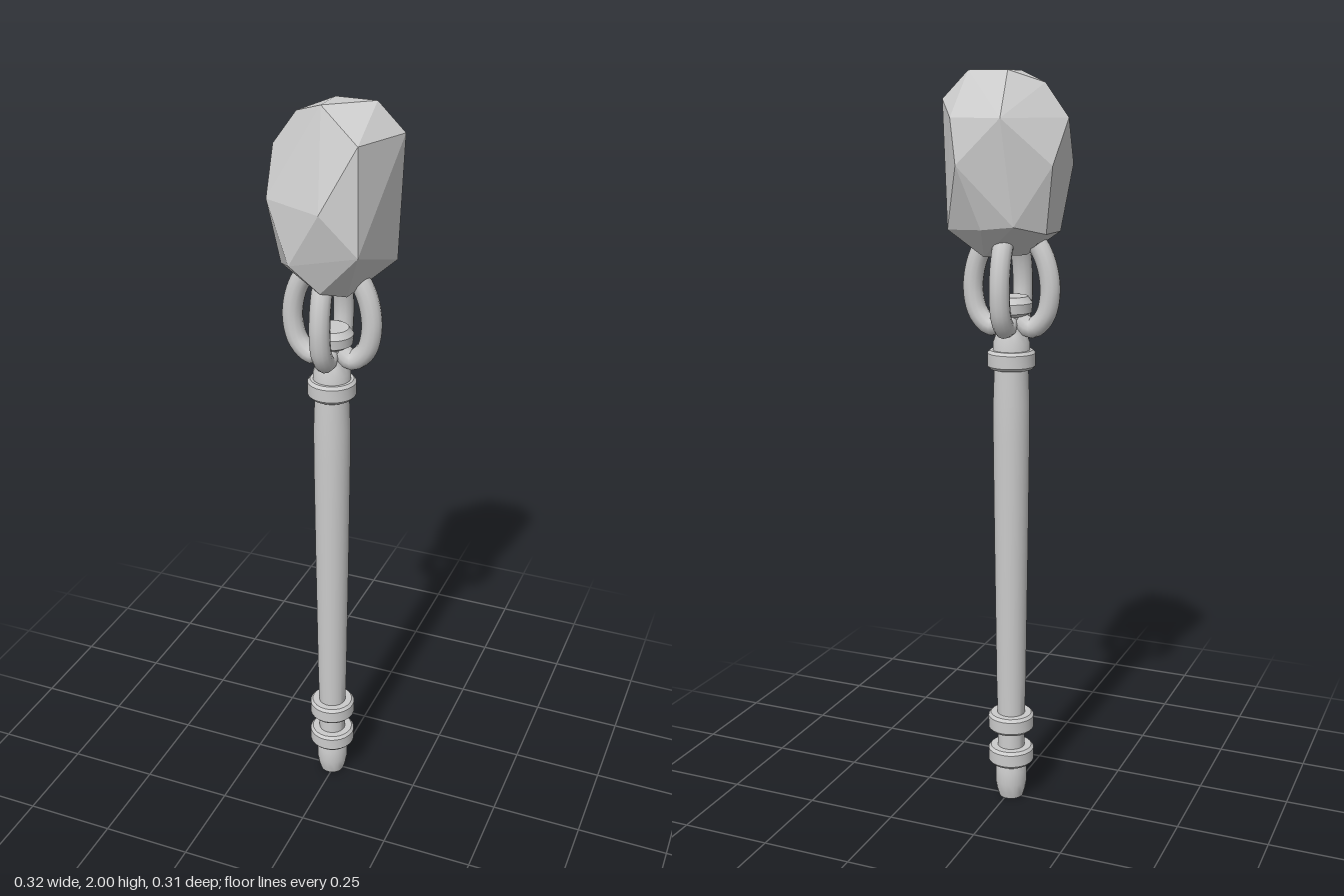
import * as THREE from 'three';
import { toCreasedNormals } from 'three/addons/utils/BufferGeometryUtils.js';
import { ConvexGeometry } from 'three/addons/geometries/ConvexGeometry.js';

const CX = -0.007, CZ = 0.004; // axis of the handle
const grey = new THREE.MeshStandardMaterial({ color: 0xcccccc });
const faceted = new THREE.MeshStandardMaterial({ color: 0xcccccc, flatShading: true });

function add(group, name, geometry, material = grey) {
  const mesh = new THREE.Mesh(geometry, material);
  mesh.name = name;
  group.add(mesh);
  return mesh;
}

// Turned part from [radius, height] pairs, bottom to top
function turned(profile) {
  const points = profile.map(([r, y]) => new THREE.Vector2(r, y));
  return toCreasedNormals(new THREE.LatheGeometry(points, 24), 0.6);
}

export function createModel() {
  const model = new THREE.Group();
  const handle = new THREE.Group();
  handle.name = 'handle';
  handle.position.set(CX, 0, CZ);
  model.add(handle);

  // Rounded foot, grip neck and tapering shaft
  add(handle, 'pommel', turned([[0, 0], [0.034, 0], [0.04, 0.02], [0.044, 0.045],
    [0.044, 0.08], [0.04, 0.105], [0.037, 0.12], [0, 0.12]]));
  add(handle, 'gripNeck', turned([[0, 0.11], [0.038, 0.11], [0.038, 0.24], [0, 0.24]]));
  add(handle, 'shaft', turned([[0, 0.23], [0.038, 0.23], [0.041, 0.35], [0.046, 0.75],
    [0.049, 1.05], [0.049, 1.15], [0.045, 1.26], [0, 1.26]]));

  // Bevelled collars
  for (const y of [0.13, 0.23, 1.265]) {
    const collar = add(handle, 'collar', turned([[0.03, -0.025], [0.057, -0.025], [0.064, -0.017],
      [0.064, 0.017], [0.057, 0.025], [0.03, 0.025]]));
    collar.position.y = y;
  }

  // Waisted top knob the links hook around
  add(handle, 'topKnob', turned([[0, 1.27], [0.05, 1.27], [0.049, 1.31], [0.04, 1.335],
    [0.033, 1.36], [0.038, 1.38], [0.054, 1.39], [0.056, 1.415], [0.044, 1.432], [0, 1.432]]));

  // Four curved links joining handle and stone, wider along x than z
  const linkPath = [[0.015, 1.375], [0.055, 1.35], [0.092, 1.38], [0.108, 1.44],
    [0.1, 1.51], [0.075, 1.565], [0.04, 1.6]];
  for (let i = 0; i < 4; i++) {
    const spread = i % 2 ? 0.76 : 1;
    const curve = new THREE.CatmullRomCurve3(
      linkPath.map(([r, y]) => new THREE.Vector3(r * spread, y, 0)));
    const link = add(handle, 'link', new THREE.TubeGeometry(curve, 28, 0.027, 12));
    link.rotation.y = i * Math.PI / 2;
  }

  // Rough-cut stone: corners of a convex block
  const corners = [
    [-0.018, 2, -0.048], [-0.018, 2, 0.045], [0.09, 2, -0.045], [-0.1, 1.97, 0],
    [0.1, 1.93, 0.11], [0.161, 1.93, -0.048], [0.105, 1.885, -0.127], [-0.036, 1.885, -0.143],
    [-0.163, 1.885, 0], [-0.15, 1.77, 0.075], [-0.15, 1.77, -0.079], [0.018, 1.77, 0.152],
    [0.08, 1.77, -0.153], [0.11, 1.67, 0.13], [-0.073, 1.625, 0.123], [0.138, 1.605, -0.075],
    [0.03, 1.61, -0.112], [-0.06, 1.62, -0.115], [-0.127, 1.6, 0.045], [-0.125, 1.6, -0.055],
    [0, 1.555, 0.1], [-0.05, 1.54, 0], [0.05, 1.535, 0.045], [0.05, 1.535, -0.045],
  ];
  add(model, 'stone', new ConvexGeometry(corners.map((c) => new THREE.Vector3(...c))), faceted);

  return model;
}
